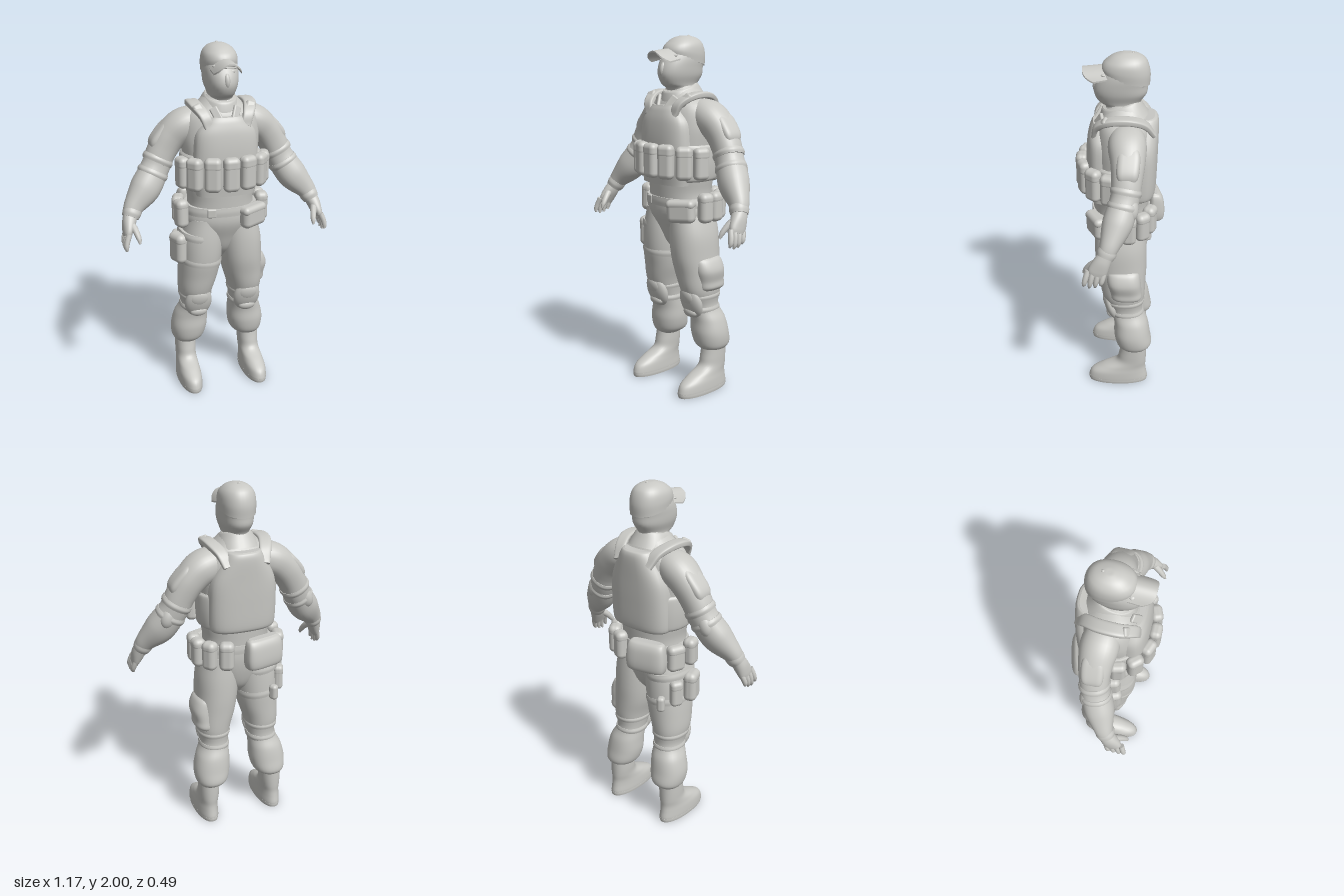
import * as THREE from 'three';
import { RoundedBoxGeometry } from 'three/addons/geometries/RoundedBoxGeometry.js';

const grey = new THREE.MeshStandardMaterial({ color: 0xc8c8c4 });
grey.name = 'plain grey';

const X = new THREE.Vector3(1, 0, 0), Z = new THREE.Vector3(0, 0, 1);

// Smooth solid through rows [x, y, z, a, b]; rings stay level unless a reference axis for radius a is given.
function loft(rows, ref = null, power = 2.2, seg = 32, sub = 6) {
  const centre = new THREE.CatmullRomCurve3(rows.map(r => new THREE.Vector3(r[0], r[1], r[2])), false, 'catmullrom');
  const radius = new THREE.CatmullRomCurve3(rows.map(r => new THREE.Vector3(r[3], r[4], 0)), false, 'catmullrom');
  const n = (rows.length - 1) * sub, pos = [], idx = [], rings = [];
  const up = new THREE.Vector3(0, Math.sign(rows[rows.length - 1][1] - rows[0][1]), 0);
  const round = v => Math.sign(v) * Math.abs(v) ** (2 / power);
  for (let i = 0; i <= n; i++) {
    const c = centre.getPoint(i / n), r = radius.getPoint(i / n);
    const T = ref ? centre.getTangent(i / n) : up;
    const U = (ref || X).clone().addScaledVector(T, -T.dot(ref || X)).normalize();
    const V = T.clone().cross(U);
    const ring = [];
    for (let j = 0; j < seg; j++) {
      const t = j / seg * Math.PI * 2;
      ring.push(c.clone().addScaledVector(U, Math.max(0, r.x) * round(Math.cos(t)))
        .addScaledVector(V, Math.max(0, r.y) * round(Math.sin(t))));
    }
    rings.push(ring);
    ring.forEach(p => pos.push(p.x, p.y, p.z));
  }
  for (let i = 0; i < n; i++) for (let j = 0; j < seg; j++) {
    const a = i * seg + j, b = i * seg + (j + 1) % seg;
    idx.push(a, b, b + seg, a, b + seg, a + seg);
  }
  // end caps with their own vertices, so their rims stay crisp
  [0, n].forEach(i => {
    const base = pos.length / 3, c = centre.getPoint(i / n);
    rings[i].forEach(p => pos.push(p.x, p.y, p.z));
    pos.push(c.x, c.y, c.z);
    for (let j = 0; j < seg; j++) {
      const a = base + j, b = base + (j + 1) % seg;
      idx.push(base + seg, ...(i ? [a, b] : [b, a]));
    }
  });
  const g = new THREE.BufferGeometry();
  g.setAttribute('position', new THREE.Float32BufferAttribute(pos, 3));
  g.setIndex(idx);
  g.computeVertexNormals();
  return g;
}

function reshape(g, rule) {
  const p = g.attributes.position, v = new THREE.Vector3();
  for (let i = 0; i < p.count; i++) {
    rule(v.fromBufferAttribute(p, i));
    p.setXYZ(i, v.x, v.y, v.z);
  }
  g.computeVertexNormals();
  return g;
}

export function createModel() {
  const model = new THREE.Group();
  const add = (name, geometry, parent = model) => {
    const m = new THREE.Mesh(geometry, grey);
    m.name = name;
    parent.add(m);
    return m;
  };
  const ball = (name, x, y, z, a, b, c) => {
    const m = add(name, new THREE.SphereGeometry(1, 24, 16));
    m.position.set(x, y, z);
    m.scale.set(a, b, c);
    return m;
  };
  const box = (name, x, y, z, w, h, d, ry = 0, rz = 0, rx = 0) => {
    const m = add(name, new RoundedBoxGeometry(w, h, d, 4, Math.min(w, h, d) * 0.42));
    m.position.set(x, y, z);
    m.rotation.set(rx, ry, rz, 'YXZ');
    return m;
  };
  // pouch with a close-fitting lid
  const pouch = (name, x, y, z, w, h, d, ry = 0, rz = 0) => {
    const m = box(name, x, y, z, w, h, d, ry, rz);
    const lid = add(name + 'Lid', new RoundedBoxGeometry(w * 1.03, h * 0.4, d * 1.05, 4, d * 0.42), m);
    lid.position.y = h * 0.3;
  };

  // torso and trousers seat
  add('shirt', loft([[0, 1.06, 0, .195, .15], [0, 1.15, 0, .185, .155], [0, 1.25, 0, .2, .16], [0, 1.4, 0, .21, .16],
    [0, 1.52, -.01, .22, .158], [0, 1.62, -.015, .2, .14], [0, 1.68, -.015, .125, .11], [0, 1.73, -.02, .075, .085]]));
  add('seat', loft([[0, .8, -.01, .04, .05], [0, .86, -.01, .1, .1], [0, .94, -.008, .165, .13],
    [0, 1.03, 0, .208, .153], [0, 1.12, 0, .195, .153]]));
  add('belt', loft([[0, 1.075, 0, .21, .16], [0, 1.1, 0, .21, .162], [0, 1.125, 0, .203, .16]], null, 2.3));
  box('buckle', -.09, 1.1, .147, .05, .05, .018, -.2);

  // vest
  add('cummerbund', loft([[0, 1.22, 0, .205, .165], [0, 1.24, 0, .218, .172], [0, 1.32, 0, .226, .176],
    [0, 1.4, 0, .225, .173], [0, 1.42, 0, .215, .165]], null, 2.3));
  add('frontPlate', loft([[0, 1.2, .1, .165, .075], [0, 1.3, .1, .18, .085], [0, 1.44, .1, .178, .088],
    [0, 1.54, .1, .165, .08], [0, 1.6, .1, .12, .065], [0, 1.63, .1, .095, .05]], null, 2.6));
  add('backPlate', loft([[0, 1.21, -.08, .17, .09], [0, 1.24, -.09, .188, .098], [0, 1.38, -.1, .19, .095],
    [0, 1.5, -.1, .178, .098], [0, 1.61, -.1, .122, .1], [0, 1.65, -.1, .1, .093], [0, 1.66, -.1, .09, .078]], null, 2.7));
  for (const s of [1, -1]) {
    add('shoulderStrap', loft([[s * .1, 1.58, .142, .026, .012], [s * .122, 1.64, .122, .03, .016],
      [s * .15, 1.68, .05, .035, .018], [s * .148, 1.682, -.05, .035, .018], [s * .122, 1.65, -.125, .033, .016],
      [s * .1, 1.59, -.172, .03, .012]], X, 4));
    box('strapPad', s * .14, 1.662, .095, .052, .08, .03, 0, -s * .4, -.7);
  }
  // magazine pouches around the belly
  pouch('frontPouch', 0, 1.335, .214, .088, .188, .064);
  for (const s of [1, -1]) {
    pouch('frontPouch', s * .098, 1.335, .196, .09, .188, .064, s * .38);
    pouch('frontPouch', s * .184, 1.33, .144, .088, .182, .064, s * .85);
    pouch('sidePouch', s * .232, 1.325, .062, .085, .175, .062, s * 1.3);
  }

  // belt pouches
  pouch('hipPouch', .15, 1.063, .132, .16, .128, .075, .45, .05);
  [[.235, .03, 1.4], [.235, -.045, 1.65], [.192, -.118, 2.2], [.11, -.16, 2.75]].forEach(([x, z, a]) =>
    pouch('smallBeltPouch', x, 1.08, z, .082, .165, .07, a));
  add('largeBackPouch', loft([[0, -.088, .01, .09, .025], [0, -.075, 0, .108, .045], [0, -.03, 0, .116, .053],
    [0, .04, 0, .112, .046], [0, .075, .005, .104, .036], [0, .088, .01, .09, .02]], null, 3.5)).position.set(-.1, 1.08, -.178);
  model.getObjectByName('largeBackPouch').rotation.y = .24;
  pouch('backHipPouch', -.225, 1.075, -.08, .1, .15, .065, -1.9);
  pouch('holsterTop', -.235, 1.08, .035, .085, .16, .07, -1.35, .04);

  // thigh gear
  pouch('thighPouch', -.25, .875, .03, .115, .175, .075, -1.2);
  pouch('thighPouchSmall', -.235, .86, -.085, .07, .15, .055, -2.0);
  box('thighTool', -.18, .8, -.15, .045, .09, .05, -2.6);
  for (const [y, t] of [[.79, .1], [.94, .12]]) {
    const strap = add('thighStrap', loft([[0, -.02, 0, .12, .144], [0, 0, 0, .123, .147], [0, .02, 0, .12, .144]]));
    strap.position.set(-.122, y, -.004);
    strap.rotation.z = -t;
  }
  // soft cargo pocket on the left thigh
  add('cargoPocket', loft([[.185, .595, -.035, .05, .075], [.2, .62, -.035, .066, .088], [.202, .66, -.03, .066, .09],
    [.203, .72, -.02, .075, .095], [.198, .775, -.015, .06, .09], [.185, .8, -.01, .045, .075]], null, 2.6));

  for (const s of [1, -1]) {
    // leg with bloused calf
    add('trouserLeg', loft([[s * .1, 1.05, 0, .098, .135], [s * .112, .92, 0, .119, .145], [s * .121, .8, -.003, .119, .144],
      [s * .132, .7, -.01, .113, .133], [s * .147, .6, -.018, .098, .12], [s * .148, .5, -.035, .081, .094],
      [s * .165, .42, -.06, .097, .098], [s * .175, .34, -.068, .105, .105], [s * .182, .27, -.08, .092, .102],
      [s * .192, .235, -.08, .06, .07]]));
    // knee pad and its straps
    const shells = [[.53, .052, .08, .105, .04], [.555, .073, .058, .058, .028], [.47, .058, .05, .03, .025]];
    for (const [y, z, a, b, c] of shells) ball('kneePad', s * .147, y, z, a, b, c).rotation.x = .28;
    for (const [y, z, a, b] of [[.565, -.024, .092, .11], [.485, -.037, .084, .095]])
      add('kneeStrap', loft([[s * .148, y - .016, z, a, b], [s * .148, y, z, a + .004, b + .004],
        [s * .148, y + .016, z, a, b]]));
    // boot and sole
    add('boot', loft([[s * .197, .28, -.08, .06, .072], [s * .197, .2, -.073, .06, .08], [s * .198, .145, -.062, .058, .09],
      [s * .199, .105, -.02, .06, .13], [s * .2, .07, .008, .064, .162], [s * .2, .03, .014, .066, .175],
      [s * .2, .015, .014, .064, .172]]));
    add('sole', loft([[s * .2, 0, .014, .064, .173], [s * .2, .012, .014, .066, .176], [s * .2, .025, .014, .066, .176]]));

    // arm
    add('sleeve', loft([[s * .08, 1.585, -.03, .08, .08], [s * .19, 1.565, -.035, .1, .092], [s * .268, 1.505, -.04, .09, .086],
      [s * .322, 1.425, -.036, .08, .08], [s * .362, 1.34, -.025, .076, .078], [s * .428, 1.237, .01, .079, .084],
      [s * .497, 1.157, .045, .054, .058], [s * .524, 1.108, .065, .042, .044]], Z));
    add('sleevePocket', loft([[s * .262, 1.578, -.045, .05, .035], [s * .292, 1.54, -.045, .06, .045],
      [s * .338, 1.475, -.04, .058, .05], [s * .356, 1.44, -.038, .045, .036]], Z, 4));
    // elbow pad, straps and cuff
    const elbow = ball('elbowPad', s * .393, 1.32, -.05, .052, .075, .045);
    elbow.rotation.set(-.2, s * .6, s * .6);
    for (const [x, y, z] of [[.345, 1.38, -.032], [.378, 1.312, -.017]])
      add('elbowStrap', loft([[s * (x - .008), y + .015, z - .003, .078, .082], [s * x, y, z, .083, .086],
        [s * (x + .008), y - .015, z + .003, .078, .082]], Z));
    add('cuff', loft([[s * .508, 1.137, .054, .049, .051], [s * .518, 1.118, .062, .051, .05],
      [s * .527, 1.1, .07, .045, .045]], Z));

    // glove: palm, fingers and thumb
    add('palm', loft([[s * .524, 1.115, .062, .038, .038], [s * .538, 1.075, .085, .046, .036],
      [s * .55, 1.035, .105, .05, .027], [s * .556, 1.01, .115, .045, .02]], Z));
    for (let i = 0; i < 4; i++) {
      const z = .07 + i * .029, drop = [.045, .058, .062, .05][i];
      add('finger', loft([[s * .551, 1.035, z, .015, .016], [s * .565, 1.0, z + .01, .015, .015],
        [s * .571, 1.0 - drop * .6, z + .018, .013, .013], [s * .567, 1.0 - drop, z + .023, .006, .006]], Z, 2, 10, 4));
    }
    add('thumb', loft([[s * .53, 1.075, .105, .022, .022], [s * .513, 1.045, .142, .018, .018],
      [s * .502, 1.01, .17, .014, .014], [s * .5, .985, .183, .006, .006]], Z, 2, 10, 4));
  }

  // collar
  const collar = add('collar', loft([[0, -.05, 0, .125, .135], [0, -.01, 0, .11, .122], [0, .03, -.005, .088, .105],
    [0, .04, -.005, .078, .095]]));
  collar.position.set(0, 1.685, 0);
  collar.rotation.x = .28;
  for (const s of [1, -1]) box('collarFlap', s * .055, 1.645, .116, .045, .08, .02, s * .45, -s * .55, -.35);

  // masked head
  add('maskedHead', loft([[0, 1.66, -.02, .075, .085], [0, 1.715, -.01, .07, .095], [0, 1.74, .008, .071, .113],
    [0, 1.785, .004, .086, .138], [0, 1.83, 0, .092, .138], [0, 1.88, -.015, .093, .13], [0, 1.94, -.025, .08, .105]]));
  ball('nose', 0, 1.818, .122, .019, .042, .026).rotation.x = -.15;
  ball('browRidge', 0, 1.892, .09, .07, .014, .026);
  const rim = [];
  for (let i = 0; i < 16; i++) {
    const t = i / 8 * Math.PI, x = .072 * Math.cos(t);
    rim.push(new THREE.Vector3(x, 1.862 + .023 * Math.sin(t), -.012 + .131 * Math.sqrt(1 - (x / .094) ** 2)));
  }
  add('eyeOpening', new THREE.TubeGeometry(new THREE.CatmullRomCurve3(rim, true), 48, .004, 8, true));
  for (const s of [1, -1]) ball('eye', s * .034, 1.863, .103, .018, .011, .014);

  // cap, lower at the back, with a curved brim
  add('cap', reshape(loft([[0, 1.865, -.024, .094, .124], [0, 1.91, -.024, .096, .126], [0, 1.95, -.026, .087, .11],
    [0, 1.98, -.03, .06, .076], [0, 1.995, -.03, .025, .03], [0, 1.997, -.03, 0, 0]]), v => {
    v.y += v.z * 2.4 * Math.max(0, 1.96 - v.y);
  }));
  ball('capButton', 0, 1.994, -.06, .008, .006, .008);
  add('brim', reshape(new THREE.BoxGeometry(2, 1, 1, 20, 1, 8), v => {
    const x = v.x * .076, t = v.z + .5, reach = .145 * (1 - Math.abs(v.x) ** 5 * .4);
    v.set(x, 1.93 + v.y * .008 - .016 * t - 9.5 * x * x, .055 + reach * t);
  }));
  add('capStrap', loft([[0, 1.83, -.03, .08, .112], [0, 1.84, -.03, .083, .115], [0, 1.85, -.03, .082, .115]]));

  return model;
}
